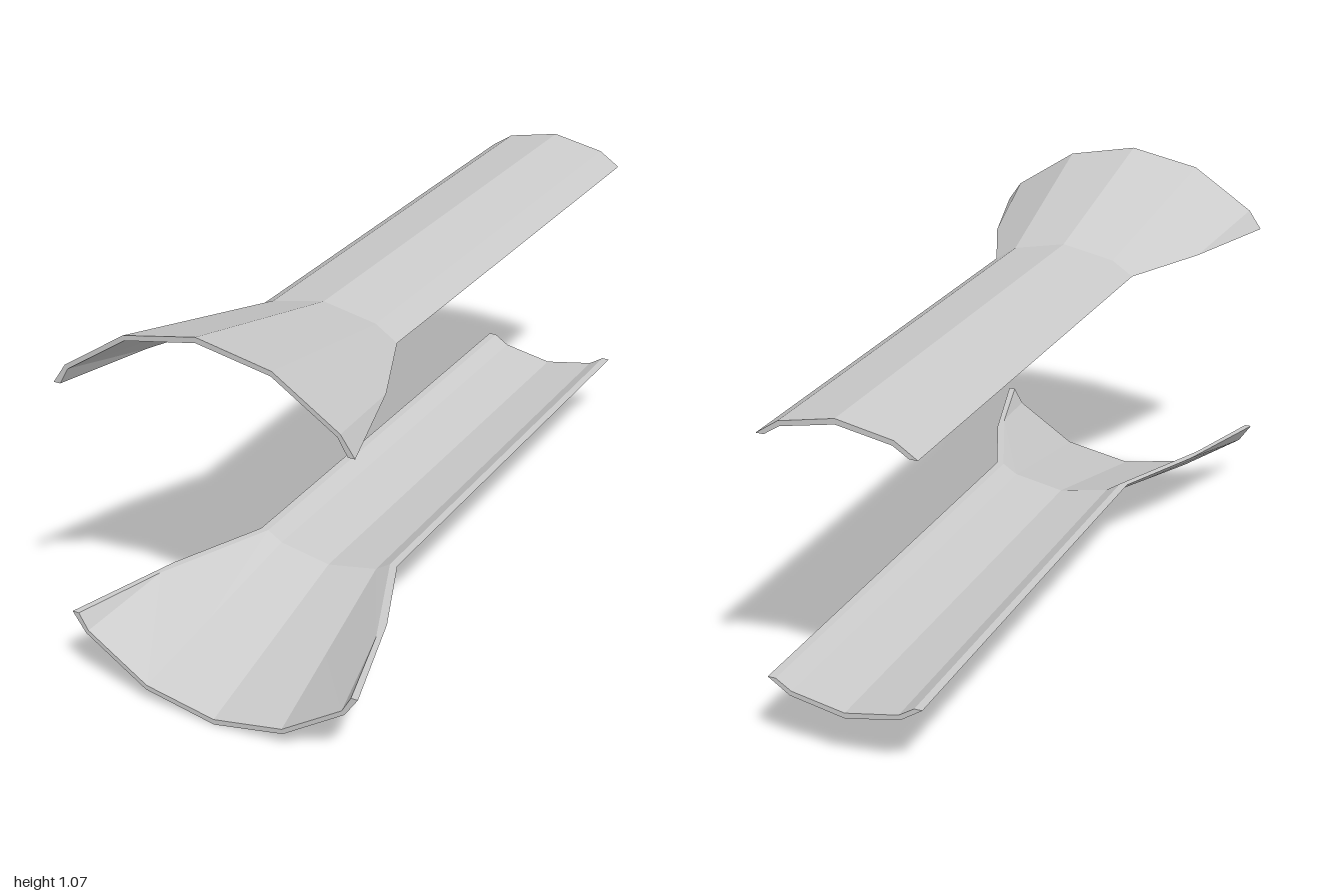
import * as THREE from 'three';

const HEIGHT = 1.07, RIM = 0.86, NECK = 0.42;
const lerp = THREE.MathUtils.lerp;

// Half profiles, from the crown to the cut edge, of one skin of the shell.
// breakZ and breakX say where the third ridge of the flare runs into the cut edge.
const outer = {
  tube: [[0, 0.93], [0.15, 0.9], [0.21, RIM], [0.21, RIM]],
  mouth: [[0, HEIGHT], [0.202, 1.03], [0.378, 0.914], [0.415, RIM]],
  breakZ: 0.68, breakX: 0.32,
};
const inner = {
  tube: [[0, 0.915], [0.146, 0.887], [0.188, RIM], [0.188, RIM]],
  mouth: [[0, 1.055], [0.199, 1.017], [0.37, 0.905], [0.396, RIM]],
  breakZ: 0.74, breakX: 0.322,
};

// Four stations of one skin along z, each mirrored to run from -x to +x
function skin({ tube, mouth, breakZ, breakX }) {
  const t = (breakZ - NECK) / (1 - NECK);
  const middle = tube.map(([x, y], i) => i < 2
    ? [lerp(x, mouth[i][0], t), lerp(y, mouth[i][1], t)]
    : [breakX, RIM]);
  return [[tube, -1], [tube, NECK], [middle, breakZ], [mouth, 1]].map(([half, z]) => {
    const right = half.map(([x, y]) => new THREE.Vector3(x, y, z));
    const left = right.slice(1).reverse().map((p) => new THREE.Vector3(-p.x, p.y, z));
    return [...left, ...right];
  });
}

// Closed, faceted half-pipe with a flared mouth
function shellGeometry() {
  const out = skin(outer), inn = skin(inner);
  const rings = out.map((ring, i) => [...ring, ...inn[i].slice().reverse()]);
  const n = rings[0].length, last = rings.length - 1;
  const positions = [];
  const tri = (a, b, c) => {
    if (new THREE.Triangle(a, b, c).getArea() < 1e-7) return;
    for (const p of [a, b, c]) positions.push(p.x, p.y, p.z);
  };
  const quad = (a, b, c, d) => { tri(a, b, c); tri(a, c, d); };

  // Skins and cut edges
  for (let i = 0; i < last; i++) {
    for (let j = 0; j < n; j++) {
      const k = (j + 1) % n;
      quad(rings[i][j], rings[i + 1][j], rings[i + 1][k], rings[i][k]);
    }
  }
  // End faces
  for (let j = 0; j < n / 2 - 1; j++) {
    quad(out[last][j], inn[last][j], inn[last][j + 1], out[last][j + 1]);
    quad(out[0][j], out[0][j + 1], inn[0][j + 1], inn[0][j]);
  }

  const geometry = new THREE.BufferGeometry();
  geometry.setAttribute('position', new THREE.Float32BufferAttribute(positions, 3));
  geometry.computeVertexNormals();
  return geometry;
}

export function createModel() {
  const group = new THREE.Group();
  group.name = 'splitFlaredPipe';
  const geometry = shellGeometry();
  const material = new THREE.MeshStandardMaterial({ color: 0xcccccc, flatShading: true });

  const upper = new THREE.Mesh(geometry, material);
  upper.name = 'upperShell';

  // The lower shell is the upper one turned over
  const lower = new THREE.Mesh(geometry, material);
  lower.name = 'lowerShell';
  lower.rotation.z = Math.PI;
  lower.position.y = HEIGHT;

  group.add(upper, lower);
  return group;
}
